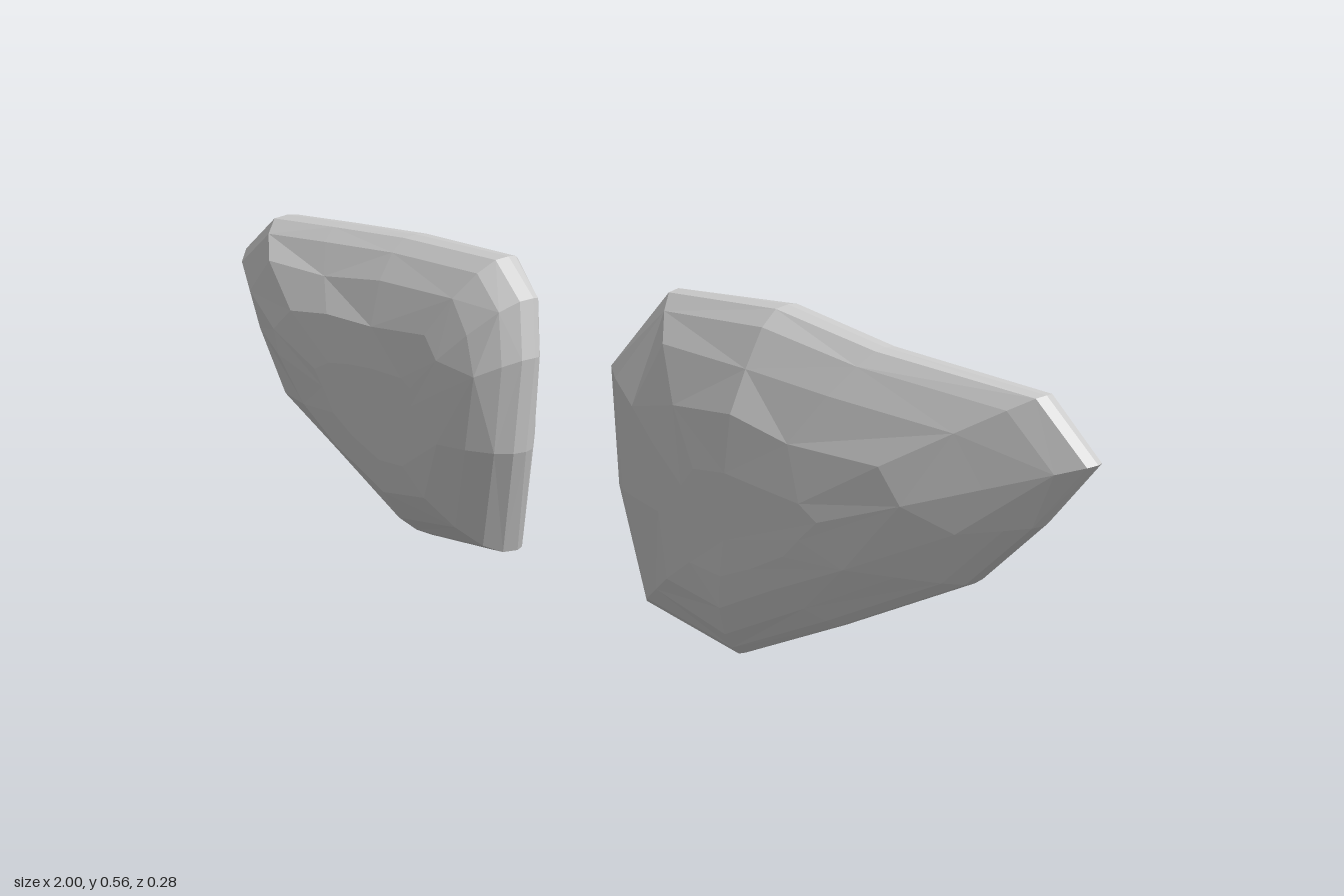
import * as THREE from 'three';

// Linear lookup in a list of [x, z] pairs
function sample(table, x) {
  for (let i = 1; i < table.length; i++) {
    const [x0, z0] = table[i - 1], [x1, z1] = table[i];
    if (x <= x1) return z0 + (z1 - z0) * Math.max(0, (x - x0) / (x1 - x0));
  }
  return table[table.length - 1][1];
}

// Rings between the middle and the rim: [scale, share of the full bulge]
const frontRings = [[0, 1], [0.3, 1], [0.55, 0.92], [0.77, 0.68], [0.92, 0.42], [0.99, 0.2]];
const backRings = [[0.99, 0.25], [0.95, 0.44], [0.84, 0.72], [0.6, 0.93], [0.3, 1], [0, 1]];

// Faceted stone: a rim outline [x, y, z] swelling into a front and a back face
function stone(name, { rim, front, back, frontCentre, backCentre }) {
  const ring = (centre, table, [s, share], k) => rim.map(([x, y, z], i) => {
    // a small regular unevenness breaks up the facets
    const t = s * (1 + 0.03 * Math.sin(i * 2.4 + k * 1.9) * (s < 0.9 ? 1 : 0));
    const px = centre[0] + (x - centre[0]) * t;
    const py = centre[1] + (y - centre[1]) * t;
    return [px, py, z * (1 - share) + sample(table, px) * share];
  });
  const rings = [
    ...frontRings.map((r, k) => ring(frontCentre, front, r, k)),
    rim,
    ...backRings.map((r, k) => ring(backCentre, back, r, k)),
  ];
  const pos = [];
  const n = rim.length, last = rings.length - 2;
  for (let k = 0; k <= last; k++) {
    for (let i = 0; i < n; i++) {
      const j = (i + 1) % n;
      const a = rings[k][i], b = rings[k][j], c = rings[k + 1][i], d = rings[k + 1][j];
      if (k === 0) pos.push(...a, ...d, ...c);
      else if (k === last) pos.push(...a, ...b, ...d);
      else if ((i + k) % 2) pos.push(...a, ...b, ...d, ...a, ...d, ...c);
      else pos.push(...a, ...b, ...c, ...b, ...d, ...c);
    }
  }
  const geo = new THREE.BufferGeometry();
  geo.setAttribute('position', new THREE.Float32BufferAttribute(pos, 3));
  geo.computeVertexNormals();
  const mesh = new THREE.Mesh(geo, new THREE.MeshStandardMaterial({ color: 0xcccccc, flatShading: true }));
  mesh.name = name;
  return mesh;
}

export function createModel() {
  const group = new THREE.Group();
  group.name = 'stonePair';

  // Longer, fuller slab on the right
  group.add(stone('rightStone', {
    rim: [
      [-1, 0.46, -0.05], [-0.89, 0.535, -0.05], [-0.68, 0.548, -0.03], [-0.45, 0.56, -0.01],
      [-0.17, 0.562, 0.015], [-0.1, 0.5, 0.02], [-0.085, 0.4, 0.03], [-0.11, 0.23, 0.03],
      [-0.18, 0.03, -0.01], [-0.4, 0.012, -0.025], [-0.65, 0.12, -0.04], [-0.84, 0.225, -0.045],
      [-0.95, 0.37, -0.05],
    ],
    front: [[-1, 0.07], [-0.95, 0.11], [-0.86, 0.13], [-0.7, 0.133], [-0.4, 0.135], [-0.25, 0.138], [-0.16, 0.155], [-0.085, 0.165]],
    back: [[-1, -0.15], [-0.9, -0.13], [-0.78, -0.121], [-0.4, -0.105], [-0.25, -0.077], [-0.14, -0.052], [-0.085, -0.02]],
    frontCentre: [-0.38, 0.25],
    backCentre: [-0.45, 0.36],
  }));

  // Slimmer slab on the left, sweeping back to a point
  group.add(stone('leftStone', {
    rim: [
      [0.13, 0.43, 0.045], [0.21, 0.558, -0.02], [0.45, 0.567, -0.025], [0.65, 0.53, -0.03],
      [0.92, 0.495, -0.08], [1, 0.4, -0.105], [0.92, 0.295, -0.085], [0.82, 0.19, -0.055],
      [0.62, 0.09, 0.01], [0.43, 0.003, 0.038], [0.2, 0.035, 0.025], [0.15, 0.23, 0.045],
    ],
    front: [[0.13, 0.105], [0.2, 0.097], [0.43, 0.115], [0.6, 0.088], [0.75, 0.058], [0.87, 0.03], [1, -0.01]],
    back: [[0.13, -0.02], [0.19, -0.05], [0.29, -0.092], [0.38, -0.107], [0.65, -0.119], [0.9, -0.15], [1, -0.165]],
    frontCentre: [0.45, 0.21],
    backCentre: [0.52, 0.35],
  }));

  return group;
}
